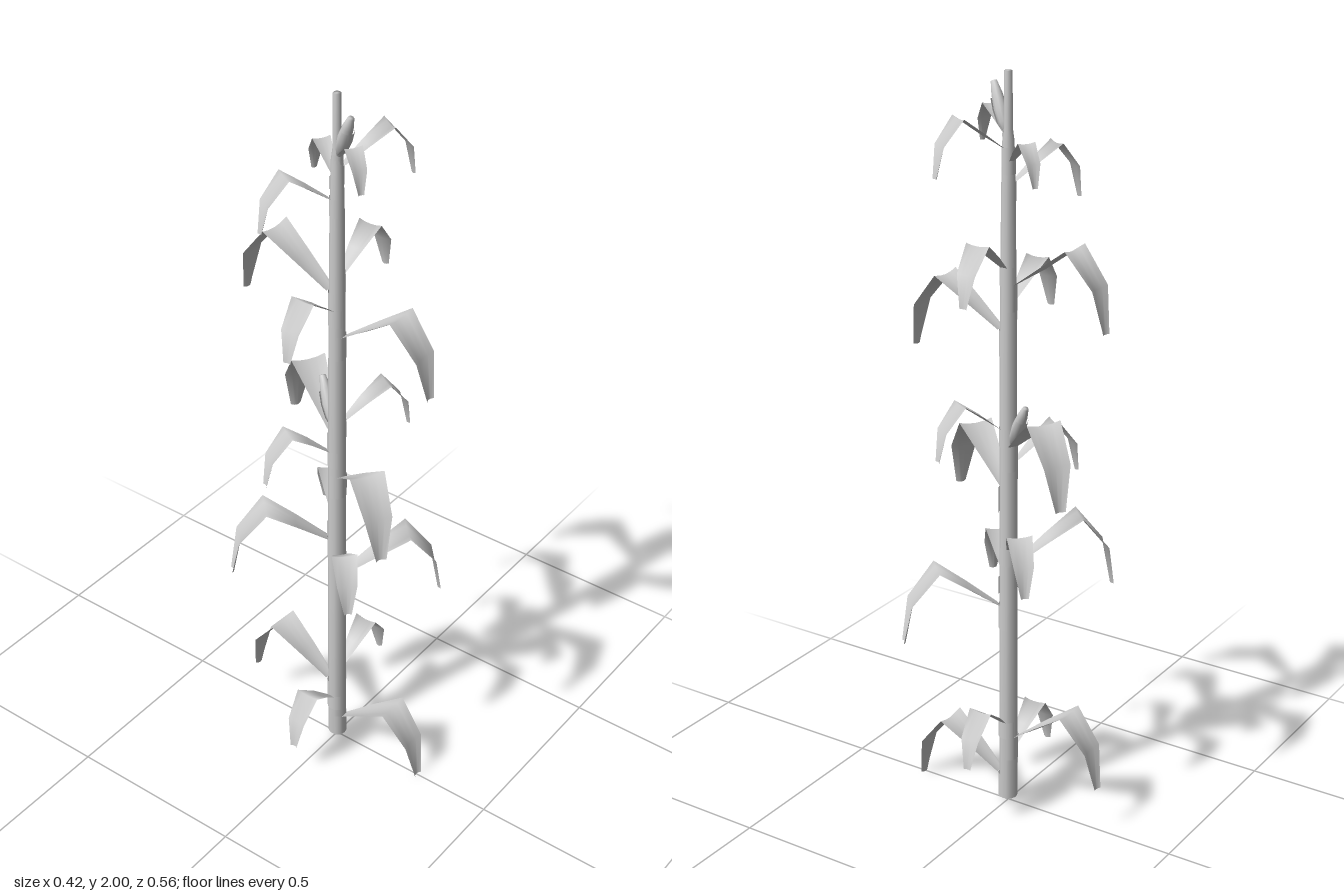
import * as THREE from 'three';

const material = new THREE.MeshStandardMaterial({ color: 0xcccccc, side: THREE.DoubleSide });

// Stalk outline: radius, height
const STALK = [[0.025, 0.02], [0.024, 0.6], [0.022, 1.27], [0.018, 1.7], [0.015, 1.83], [0.011, 1.86], [0.01, 2]];

function stalkRadius(y) {
  for (let i = 1; i < STALK.length; i++) {
    const [r0, y0] = STALK[i - 1], [r1, y1] = STALK[i];
    if (y <= y1) return r0 + (r1 - r0) * Math.max(0, (y - y0) / (y1 - y0));
  }
  return 0.01;
}

function addMesh(parent, name, geometry) {
  const mesh = new THREE.Mesh(geometry, material);
  mesh.name = name;
  parent.add(mesh);
  return mesh;
}

// Leaf stations: distance outward, height from the bend, half width
const BLADE = [[0.02, -0.12, 0.014], [0.105, -0.06, 0.031], [0.19, 0, 0.047], [0.262, -0.09, 0.037], [0.282, -0.204, 0.014]];

// Blade pointing to +z, with a shallow channel along its middle
function bladeGeometry(scale, baseRadius) {
  const columns = 4, positions = [], indices = [];
  BLADE.forEach(([z, y, w], i) => {
    const a = BLADE[Math.max(i - 1, 0)], b = BLADE[Math.min(i + 1, BLADE.length - 1)];
    const dz = b[0] - a[0], dy = b[1] - a[1], len = Math.hypot(dz, dy);
    const outward = i === 0 ? baseRadius : z * scale;
    for (let c = 0; c <= columns; c++) {
      const u = (c / columns) * 2 - 1;
      const sag = 0.007 * (1 - u * u) * scale * (i === 0 ? 0 : 1);
      positions.push(u * w * scale, y * scale - (sag * dz) / len, outward + (sag * dy) / len);
      if (i > 0 && c > 0) {
        const q = i * (columns + 1) + c, p = q - columns - 1;
        indices.push(p - 1, q - 1, p, p, q - 1, q);
      }
    }
  });
  const geometry = new THREE.BufferGeometry();
  geometry.setAttribute('position', new THREE.Float32BufferAttribute(positions, 3));
  geometry.setIndex(indices);
  geometry.computeVertexNormals();
  return geometry;
}

// One leaf: a drooping blade and the sheath that clasps the stalk below it
function createLeaf(bendY, angle, scale) {
  const leaf = new THREE.Group();
  leaf.name = 'leaf';
  const baseY = bendY - 0.12 * scale;
  const radius = stalkRadius(baseY) + 0.002;
  addMesh(leaf, 'leafBlade', bladeGeometry(scale, radius));
  const height = 0.07 * scale;
  const sheath = addMesh(leaf, 'leafSheath',
    new THREE.CylinderGeometry(radius, radius, height, 8, 1, true, -1.2, 2.4));
  sheath.position.y = -0.12 * scale - height / 2;
  leaf.position.y = bendY;
  leaf.rotation.y = angle;
  return leaf;
}

// Four leaves at right angles; two long and two short
function createWhorl(y, angle, scale) {
  const whorl = new THREE.Group();
  whorl.name = 'leafWhorl';
  const leaves = [[0.21, 0, 1], [0.33, Math.PI, 1], [0.34, Math.PI / 2, 0.71], [0.25, -Math.PI / 2, 0.71]];
  for (const [bend, turn, size] of leaves) {
    whorl.add(createLeaf(y + bend * scale, angle + turn, size * scale));
  }
  return whorl;
}

// Ear leaning out from the stalk, with a husk on its outer side
function createEar(from, to) {
  const ear = new THREE.Group();
  ear.name = 'ear';
  const start = new THREE.Vector3(...from), axis = new THREE.Vector3(...to).sub(start);
  const length = axis.length();
  const profile = [[0, 0], [0.007, 0], [0.014, 0.2], [0.017, 0.45], [0.014, 0.75], [0.008, 1], [0, 1]]
    .map(([r, t]) => new THREE.Vector2(r, t * length));
  addMesh(ear, 'cob', new THREE.LatheGeometry(profile, 10));
  const husk = [[0.008, 0], [0.017, 0.2], [0.02, 0.45], [0.018, 0.7]]
    .map(([r, t]) => new THREE.Vector2(r, t * length));
  addMesh(ear, 'husk', new THREE.LatheGeometry(husk, 6, -1.3, 2.6));
  const lean = Math.acos(axis.y / length);
  ear.rotation.set(lean, Math.atan2(axis.x, axis.z), 0, 'YXZ');
  ear.position.copy(start);
  return ear;
}

export function createModel() {
  const plant = new THREE.Group();
  plant.name = 'cornPlant';

  // Stalk with closed ends
  const outline = [[0, 0.02], ...STALK, [0, 2]].map(([r, y]) => new THREE.Vector2(r, y));
  addMesh(plant, 'stalk', new THREE.LatheGeometry(outline, 10));

  // Whorls: height, turn in degrees, scale
  const whorls = [[0, 0, 1], [0.51, 45, 1], [0.84, -30, 1], [1.265, 0, 1], [1.67, -120, 0.7]];
  for (const [y, degrees, scale] of whorls) {
    plant.add(createWhorl(y, THREE.MathUtils.degToRad(degrees), scale));
  }

  plant.add(createEar([0.01, 1.06, -0.018], [0.045, 1.175, -0.08]));
  plant.add(createEar([-0.006, 1.85, 0.01], [-0.028, 1.965, 0.06]));
  return plant;
}
